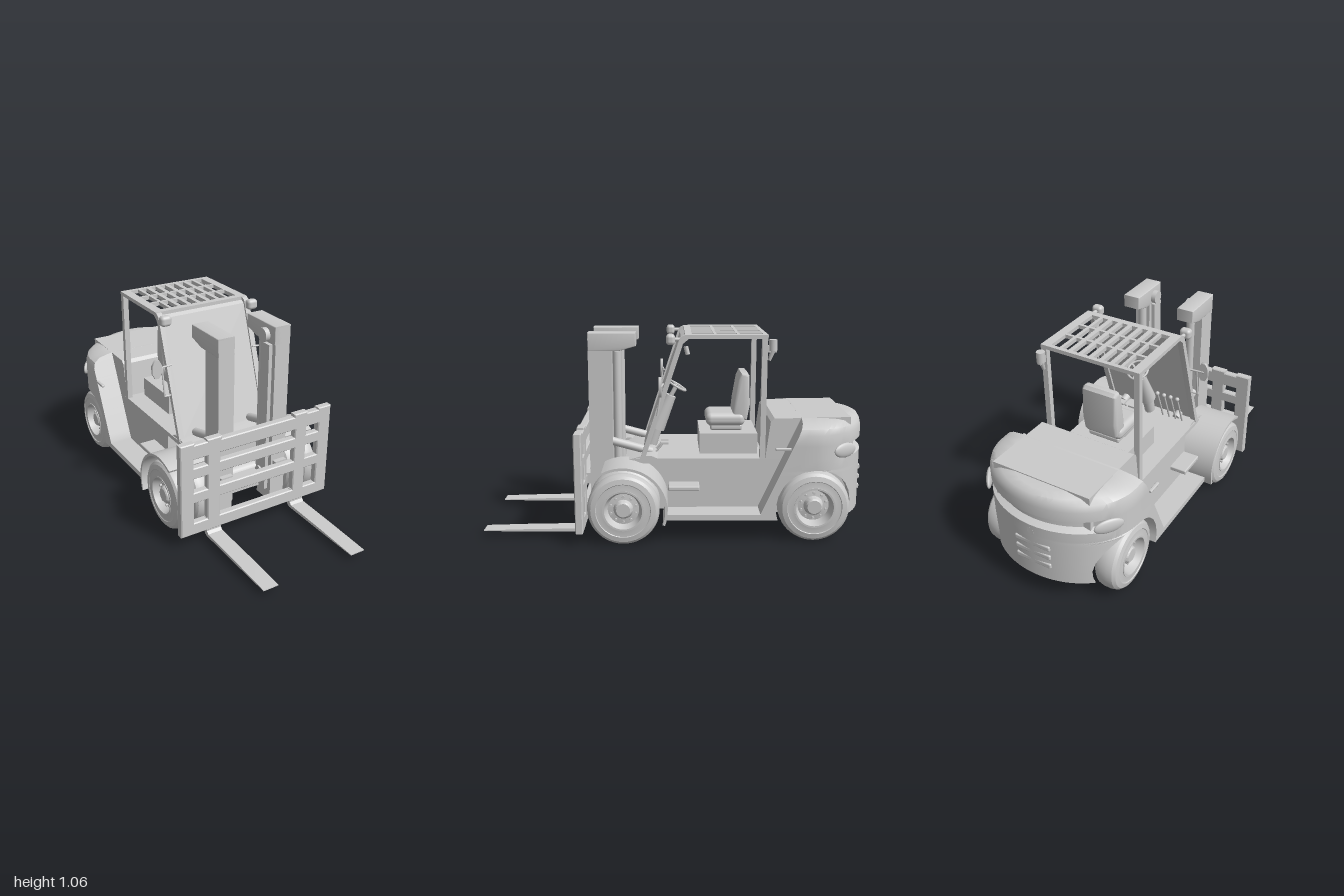
import * as THREE from 'three';
import { toCreasedNormals } from 'three/addons/utils/BufferGeometryUtils.js';
import { RoundedBoxGeometry } from 'three/addons/geometries/RoundedBoxGeometry.js';

const grey = new THREE.MeshStandardMaterial({ color: 0xcccccc, side: THREE.DoubleSide });
const V = (x, y, z) => new THREE.Vector3(x, y, z);

export function createModel() {
  const model = new THREE.Group();

  const add = (name, geo, parent = model) => {
    const m = new THREE.Mesh(geo, grey);
    m.name = name;
    parent.add(m);
    return m;
  };
  // Box from its limits; r > 0 rounds the edges
  const box = (name, x0, x1, y0, y1, z0, z1, r = 0) => {
    const s = [Math.abs(x1 - x0), y1 - y0, Math.abs(z1 - z0)];
    const g = r ? new RoundedBoxGeometry(...s, 3, r) : new THREE.BoxGeometry(...s);
    return add(name, g.translate((x0 + x1) / 2, (y0 + y1) / 2, (z0 + z1) / 2));
  };
  // Side profile of [z, y] points extruded from x0 to x1
  const side = (name, pts, x0, x1, bevel = 0) => {
    const shape = new THREE.Shape(pts.map(p => new THREE.Vector2(p[0], p[1])));
    const g = new THREE.ExtrudeGeometry(shape, {
      depth: x1 - x0 - 2 * bevel, bevelEnabled: bevel > 0, bevelSize: bevel, bevelOffset: -bevel, bevelThickness: bevel, bevelSegments: 3,
    });
    return add(name, toCreasedNormals(g.rotateY(-Math.PI / 2).translate(x1 - bevel, 0, 0), 0.6));
  };
  const rod = (name, a, b, r, r2 = r) => {
    const d = b.clone().sub(a);
    const g = new THREE.CylinderGeometry(r2, r, d.length(), 16);
    g.applyQuaternion(new THREE.Quaternion().setFromUnitVectors(V(0, 1, 0), d.normalize()));
    return add(name, g.translate((a.x + b.x) / 2, (a.y + b.y) / 2, (a.z + b.z) / 2));
  };
  const rect = (P, x0, x1, y0, y1) =>
    new P([[x0, y0], [x1, y0], [x1, y1], [x0, y1]].map(p => new THREE.Vector2(...p)));

  // Counterweight: horizontal sections with wheel arches, slanted front, round tail and a groove
  const ring = ([y, sx, inset, notch]) => {
    const w = Math.sqrt(Math.max(0, 0.04 - (y - 0.187) ** 2)) * (y < 0.387 ? 1 : 0);
    const front = -0.43 - Math.max(0, y - 0.15) * 0.45;
    const z1 = -0.711 + w, z2 = -0.711 - w;
    const t0 = Math.asin((-0.68 - z2) / 0.32);
    const out = 0.4 * Math.cos(t0);
    const half = [[0.4, front], [0.4, (front + z1) / 2], [z1 > -0.68 ? 0.4 : out, z1],
      [notch ? 0.2 : out, z1], [notch ? 0.2 : out, z2]];
    for (let i = 0; i <= 16; i++) {
      const t = t0 + (Math.PI / 2 - t0) * i / 16;
      const k = 1 - inset * THREE.MathUtils.smoothstep(t, 0.5, 0.8);
      half.push([0.4 * Math.cos(t) * k, -0.68 - 0.32 * Math.sin(t) * k]);
    }
    const pts = half.map(([x, z]) => V(x * sx, y, z));
    return pts.concat(pts.slice(0, -1).reverse().map(p => V(-p.x, p.y, p.z)));
  };
  const layers = [[0.125, 1, 0, 1], [0.16, 1, 0, 1], [0.2, 1, 0, 1], [0.25, 1, 0, 1], [0.3, 1, 0, 1], [0.335, 1, 0, 1],
    [0.36, 1, 0, 1], [0.377, 1, 0, 1], [0.387, 1, 0, 1], [0.387, 1, 0, 0], [0.44, 1, 0, 0], [0.455, 1, 0.1, 0],
    [0.495, 1, 0.1, 0], [0.51, 1, 0, 0], [0.565, 1, 0, 0], [0.595, 0.97, 0.02, 0], [0.617, 0.88, 0.06, 0], [0.63, 0.7, 0.14, 0]];
  const rings = layers.map(ring), n = rings[0].length, index = [];
  for (let j = 0; j < rings.length - 1; j++)
    for (let i = 0; i < n; i++) {
      const a = j * n + i, b = j * n + (i + 1) % n;
      index.push(a, b, b + n, a, b + n, a + n);
    }
  [0, rings.length - 1].forEach(j => {
    const tris = THREE.ShapeUtils.triangulateShape(rings[j].map(p => new THREE.Vector2(p.x, -p.z)), []);
    tris.forEach(t => index.push(...(j ? t : [...t].reverse()).map(i => i + j * n)));
  });
  const body = new THREE.BufferGeometry().setFromPoints(rings.flat());
  body.setIndex(index);
  add('counterweight', toCreasedNormals(body, 0.6));
  side('hood', [[-0.465, 0.41], [-0.49, 0.61], [-0.51, 0.627], [-0.9, 0.635], [-0.9, 0.41]], -0.27, 0.27);
  for (const y of [0.2, 0.255, 0.31]) box('rearVent', -0.1, 0.1, y, y + 0.03, -1, -0.96, 0.008);
  rod('towPin', V(0, 0.4, -0.97), V(0, 0.4, -1), 0.02);

  // Chassis, floor and cowl
  box('chassis', -0.27, 0.27, 0.125, 0.41, -0.6, 0.04);
  box('frontChassis', -0.21, 0.21, 0.125, 0.4, 0.03, 0.26);
  box('floor', -0.275, 0.275, 0.395, 0.417, -0.47, 0.2);
  side('cowl', [[0.03, 0.39], [0.26, 0.39], [0.26, 0.405], [0.17, 0.43], [0.12, 0.43]], -0.27, 0.27);
  box('seatBase', -0.17, 0.17, 0.415, 0.525, -0.435, -0.13);

  // Wheels, built along +x and turned outward
  const tyre = [[0.1, -0.05], [0.14, -0.05], [0.165, -0.045], [0.178, -0.034], [0.184, -0.014], [0.184, 0.014],
    [0.178, 0.034], [0.165, 0.045], [0.14, 0.05], [0.137, 0.047], [0.12, 0.047], [0.1, 0.05], [0.1, -0.05]];
  const rim = [[0, 0.04], [0.035, 0.04], [0.042, 0.034], [0.05, 0.012], [0.08, 0.008], [0.09, 0.03], [0.096, 0.052], [0.105, 0.052], [0.105, -0.05], [0, -0.05]];
  const lathe = pts => toCreasedNormals(
    new THREE.LatheGeometry(pts.map(p => new THREE.Vector2(...p)).reverse(), 48).rotateZ(-Math.PI / 2), 0.5);
  const wheel = (name, s, x, z, width) => {
    const g = new THREE.Group();
    g.name = name;
    add('tyre', lathe(tyre), g);
    add('rim', lathe(rim), g);
    for (let i = 0; i < 10; i++) {
      const a = i * Math.PI / 5;
      add('wheelNut', new THREE.CylinderGeometry(0.007, 0.007, 0.016, 6).rotateZ(Math.PI / 2)
        .translate(0.016, 0.066 * Math.cos(a), 0.066 * Math.sin(a)), g);
    }
    g.position.set(s * x, 0.186, z);
    g.rotation.y = s < 0 ? Math.PI : 0;
    g.scale.x = width;
    model.add(g);
  };
  rod('frontAxle', V(-0.38, 0.186, 0.262), V(0.38, 0.186, 0.262), 0.05);
  rod('rearAxle', V(-0.3, 0.186, -0.711), V(0.3, 0.186, -0.711), 0.05);

  // Fender arc over the front wheels
  const fender = [];
  for (const [r, d] of [[0.225, 1], [0.212, -1]])
    for (let i = 0; i <= 24; i++) {
      const a = (62 + 138 * (d > 0 ? i : 24 - i) / 24) * Math.PI / 180;
      fender.push([0.262 + r * Math.cos(a), 0.187 + r * Math.sin(a)]);
    }

  for (const s of [-1, 1]) {
    const sx = (name, a, b, ...rest) => box(name, s * a, s * b, ...rest);
    const sp = (name, pts, a, b, bevel) => side(name, pts, Math.min(s * a, s * b), Math.max(s * a, s * b), bevel);
    wheel('outerFrontWheel', s, 0.387, 0.262, 0.92);
    wheel('innerFrontWheel', s, 0.282, 0.262, 0.95);
    wheel('rearWheel', s, 0.325, -0.711, 1.25);
    sp('frontFender', fender, 0.21, 0.44);
    sx('sill', 0.26, 0.4, 0.125, 0.155, -0.45, 0.04);
    sx('step', 0.26, 0.36, 0.268, 0.292, -0.125, 0.035, 0.006);
    sx('sideHandle', 0.39, 0.407, 0.49, 0.505, -0.58, -0.5, 0.005);

    // Tail lamp set into the rounded corner
    const lamp = add('tailLamp', new THREE.SphereGeometry(1, 24, 16));
    lamp.scale.set(0.015, 0.038, 0.075);
    lamp.position.set(s * 0.345, 0.48, -0.86);
    lamp.rotation.y = s * 0.62;

    // Overhead guard posts
    sp('frontPost', [[0.18, 0.415], [0.155, 0.415], [-0.04, 1.01], [-0.07, 1.035], [-0.07, 1.055],
      [-0.045, 1.052], [-0.025, 1.04], [-0.015, 1.015]], 0.245, 0.275);
    sx('rearPost', 0.245, 0.275, 0.41, 1.045, -0.465, -0.437);
    sx('headlamp', 0.23, 0.29, 1.003, 1.058, 0, 0.045, 0.018);
    rod('headlampMount', V(s * 0.26, 1.03, 0), V(s * 0.26, 1.03, -0.04), 0.01);

    // Mirror with its bracket
    const mirror = add('mirror', new THREE.CylinderGeometry(0.054, 0.054, 0.014, 8, 1).rotateY(Math.PI / 8).rotateX(Math.PI / 2));
    mirror.scale.x = 0.54;
    mirror.position.set(s * 0.343, 0.803, 0.075);
    const arm = [V(0.25, 0.803, 0.06), V(0.35, 0.803, 0.07), V(0.308, 0.803, 0.066), V(0.308, 0.65, 0.09), V(0.26, 0.65, 0.09)]
      .map(p => p.multiply(V(s, 1, 1)));
    for (const [i, j] of [[0, 1], [2, 3], [3, 4]]) rod('mirrorArm', arm[i], arm[j], 0.005);

    // Mast column with head arm, inner rail, lift cylinder and pulley
    sx('mastColumn', 0.12, 0.205, 0.075, 1.05, 0.325, 0.445);
    sp('mastHead', [[0.445, 0.965], [0.445, 1.058], [0.2, 1.058], [0.2, 0.99], [0.285, 0.965]], 0.115, 0.208, 0.004);
    sx('innerRail', 0.1, 0.125, 0.14, 0.96, 0.35, 0.42);
    rod('liftCylinder', V(s * 0.15, 0.2, 0.3), V(s * 0.15, 0.96, 0.3), 0.022);
    for (const [y, r] of [[1, 0.036], [0.235, 0.024]])
      rod('mastPulley', V(s * 0.09, y, 0.37), V(s * 0.125, y, 0.37), r);
    rod('tiltCylinder', V(s * 0.17, 0.43, 0.12), V(s * 0.17, 0.49, 0.34), 0.022);
    sx('carriageBracket', 0.13, 0.2, 0.26, 0.32, 0.44, 0.47);

    // Fork with bent heel and tapered tip
    sp('fork', [[0.47, 0.14], [0.497, 0.14], [0.497, 0.06], [0.51, 0.047], [0.75, 0.044], [1, 0.037], [1, 0.033],
      [0.75, 0.03], [0.495, 0.03], [0.478, 0.037], [0.47, 0.055]], 0.217, 0.3);
  }

  // Roof frame with slots
  const roof = rect(THREE.Shape, -0.275, 0.275, 0.05, 0.467);
  for (let i = 0; i < 8; i++) {
    const x = -0.203 + i * 0.058, w = i % 7 ? 0.017 : 0.024;
    for (const [a, b] of [[0.085, 0.195], [0.21, 0.312], [0.327, 0.445]]) roof.holes.push(rect(THREE.Path, x - w, x + w, a, b));
  }
  add('overheadGuard', new THREE.ExtrudeGeometry(roof, { depth: 0.02, bevelEnabled: false }).rotateX(-Math.PI / 2).translate(0, 1.035, 0));
  side('windshield', [[0.172, 0.42], [0.166, 0.42], [-0.035, 1.02], [-0.065, 1.04], [-0.065, 1.046], [-0.03, 1.024]], -0.25, 0.25);
  box('beaconBracket', 0.25, 0.27, 0.965, 1, -0.51, -0.46);
  rod('rearLamp', V(0.26, 0.975, -0.492), V(0.26, 1.03, -0.492), 0.022);
  rod('rearLampBase', V(0.26, 0.925, -0.475), V(0.26, 0.975, -0.492), 0.008, 0.014);
  rod('insideMirror', V(0.22, 0.95, -0.065), V(0.22, 0.99, -0.055), 0.012);

  // Carriage plate with windows and a notched top
  const plate = new THREE.Shape([[-0.45, 0.07], [0.45, 0.07], [0.45, 0.586], [0.37, 0.586], [0.37, 0.576], [0.3, 0.576], [0.3, 0.586],
    [0.217, 0.586], [0.217, 0.57], [-0.217, 0.57], [-0.217, 0.586], [-0.3, 0.586], [-0.3, 0.576], [-0.37, 0.576], [-0.37, 0.586],
    [-0.45, 0.586]].map(p => new THREE.Vector2(...p)));
  for (const [y0, y1] of [[0.137, 0.252], [0.312, 0.39], [0.45, 0.498]])
    for (const [x0, x1] of [[-0.375, -0.298], [-0.225, 0.225], [0.298, 0.375]]) plate.holes.push(rect(THREE.Path, x0, x1, y0, y1));
  add('carriage', new THREE.ExtrudeGeometry(plate, {
    depth: 0.03, bevelThickness: 0.005, bevelSize: 0.005, bevelOffset: -0.005, bevelSegments: 1,
  }).translate(0, 0, 0.468));
  box('mastCrossbar', -0.125, 0.125, 0.14, 0.23, 0.33, 0.37);

  // Seat
  box('seatSuspension', -0.09, 0.09, 0.525, 0.555, -0.36, -0.19, 0.01);
  box('seatCushion', -0.11, 0.11, 0.55, 0.62, -0.375, -0.165, 0.03);
  side('seatBack', [[-0.305, 0.58], [-0.385, 0.58], [-0.4, 0.66], [-0.395, 0.82], [-0.38, 0.837], [-0.35, 0.835], [-0.335, 0.8], [-0.315, 0.68]], -0.1, 0.1, 0.018);

  // Steering column, wheel, levers and pedals
  rod('steeringColumn', V(0, 0.42, 0.13), V(0, 0.55, 0.09), 0.03);
  rod('columnCover', V(0, 0.52, 0.1), V(0, 0.7, 0.02), 0.045, 0.028);
  rod('steeringShaft', V(0, 0.69, 0.025), V(0, 0.755, -0.01), 0.012);
  const steering = new THREE.Group();
  steering.name = 'steeringWheel';
  add('steeringRim', new THREE.TorusGeometry(0.056, 0.006, 10, 36), steering);
  for (let i = 0; i < 3; i++)
    add('spoke', new THREE.BoxGeometry(0.056, 0.01, 0.006).translate(0.028, 0, 0).rotateZ(i * 2 * Math.PI / 3 + 0.5), steering);
  steering.position.set(0, 0.755, -0.01);
  steering.rotation.x = 1.03;
  model.add(steering);
  for (let i = 0; i < 4; i++) {
    const x = -0.09 - i * 0.04;
    rod('lever', V(x, 0.42, 0.12), V(x, 0.6, 0.05), 0.005);
    add('leverKnob', new THREE.SphereGeometry(0.012, 12, 8).translate(x, 0.605, 0.048));
  }
  for (const x of [0.07, 0.14]) {
    rod('pedalArm', V(x, 0.42, 0.1), V(x, 0.47, 0.06), 0.005);
    box('pedal', x - 0.02, x + 0.02, 0.465, 0.475, 0.035, 0.075);
  }
  return model;
}
